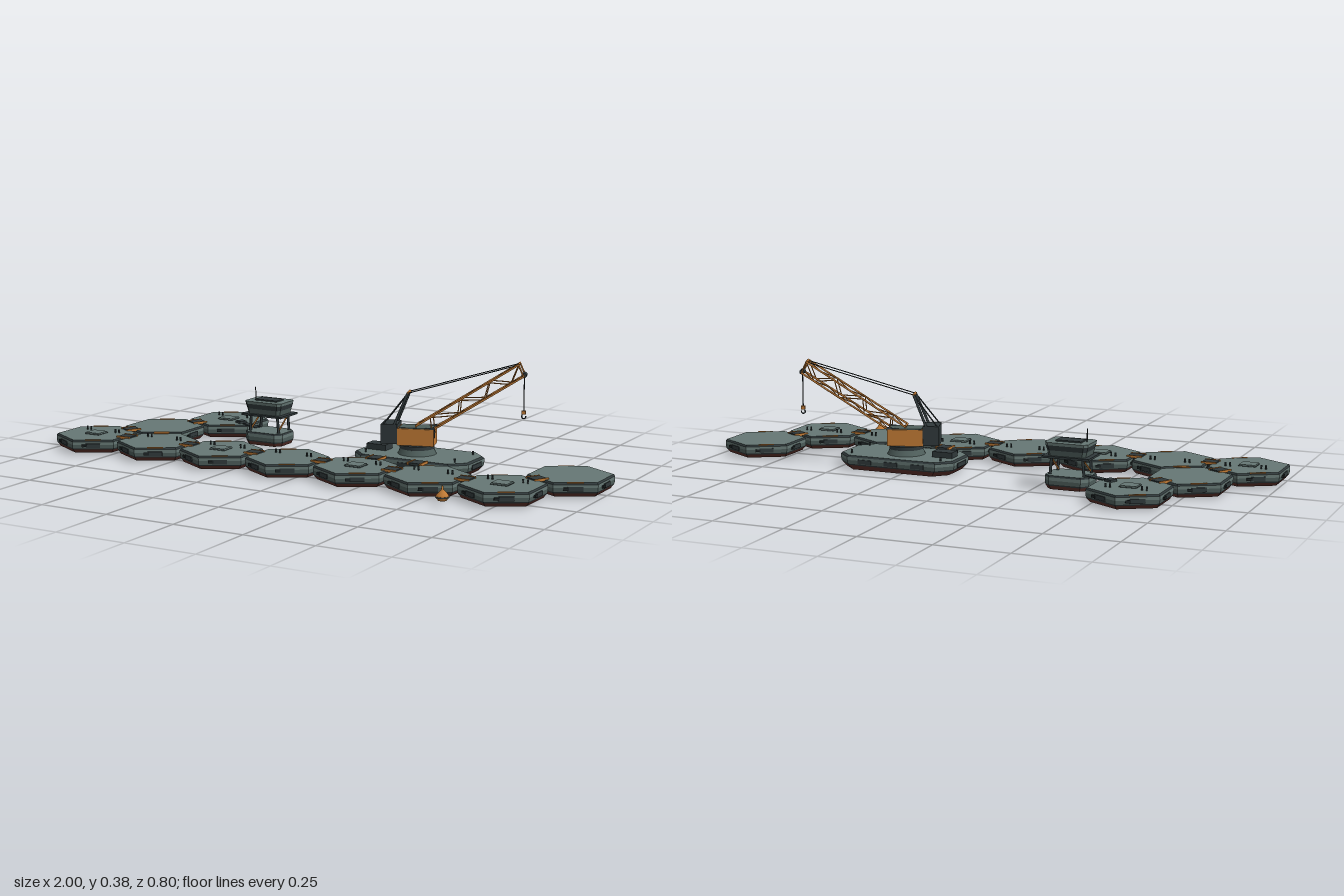
import * as THREE from 'three';

const mat = (name, color) => {
  const m = new THREE.MeshStandardMaterial({ color });
  m.name = name;
  return m;
};

export function createModel() {
  const deck = mat('deck green', 0x667875), hullMat = mat('hull green', 0x4f5f5c);
  const dark = mat('dark steel', 0x30393b), black = mat('black rubber', 0x1d2425);
  const orange = mat('orange paint', 0xc07a35), rust = mat('red antifouling', 0x5c3029);
  const root = new THREE.Group();
  root.name = 'floatingPontoons';

  const group = (name, parent, x = 0, y = 0, z = 0) => {
    const g = new THREE.Group();
    g.name = name;
    g.position.set(x, y, z);
    parent.add(g);
    return g;
  };
  const mesh = (name, parent, geo, m, x = 0, y = 0, z = 0, ry = 0) => {
    const o = new THREE.Mesh(geo, m);
    o.name = name;
    o.position.set(x, y, z);
    o.rotation.y = ry;
    parent.add(o);
    return o;
  };
  const box = (name, parent, m, w, h, d, x, y, z, ry = 0) =>
    mesh(name, parent, new THREE.BoxGeometry(w, h, d), m, x, y, z, ry);
  const cyl = (name, parent, m, rt, rb, h, x, y, z, n = 24) =>
    mesh(name, parent, new THREE.CylinderGeometry(rt, rb, h, n), m, x, y, z);
  const beam = (name, parent, m, a, b, r) => {
    const A = new THREE.Vector3(...a), B = new THREE.Vector3(...b), d = B.clone().sub(A);
    const o = mesh(name, parent, new THREE.CylinderGeometry(r, r, d.length(), 6), m);
    o.position.copy(A).add(B).multiplyScalar(0.5);
    o.quaternion.setFromUnitVectors(new THREE.Vector3(0, 1, 0), d.normalize());
    return o;
  };

  // Flat-sided ring between two heights of an outline, inset by a scale factor
  const facets = (tris) => {
    const g = new THREE.BufferGeometry();
    g.setAttribute('position', new THREE.Float32BufferAttribute(tris.flat(), 3));
    g.computeVertexNormals();
    return g;
  };
  const band = (pts, y0, s0, y1, s1) => {
    const t = [];
    pts.forEach(([x, z], i) => {
      const [u, w] = pts[(i + 1) % pts.length];
      const A = [x * s0, y0, z * s0], B = [x * s1, y1, z * s1];
      const C = [u * s1, y1, w * s1], D = [u * s0, y0, w * s0];
      t.push(A, B, C, A, C, D);
    });
    return facets(t);
  };
  const cap = (pts, y, s, up) => {
    const t = [];
    pts.forEach(([x, z], i) => {
      const [u, w] = pts[(i + 1) % pts.length];
      const P = [x * s, y, z * s], Q = [u * s, y, w * s];
      t.push([0, y, 0], ...(up ? [Q, P] : [P, Q]));
    });
    return facets(t);
  };
  const hull = (parent, pts, bottomMat, y0 = 0.004) => {
    mesh('hullBottom', parent, cap(pts, y0, 0.9, false), bottomMat);
    mesh('bilge', parent, band(pts, y0, 0.9, 0.016, 0.97), rust);
    mesh('waterline', parent, band(pts, 0.016, 0.97, 0.021, 0.99), dark);
    mesh('hullSide', parent, band(pts, 0.021, 0.99, 0.034, 1), hullMat);
    mesh('upperSide', parent, band(pts, 0.034, 1, 0.045, 1), deck);
    mesh('deckRim', parent, band(pts, 0.045, 1, 0.051, 0.965), dark);
    mesh('deck', parent, cap(pts, 0.051, 0.965, true), deck);
  };
  const octagon = (a, b, c) => [[a, -b + c], [a, b - c], [a - c, b], [-a + c, b],
    [-a, b - c], [-a, -b + c], [-a + c, -b], [a - c, -b]];

  // Hexagonal pontoons
  const R = 0.145, step = 0.267;
  const hex = Array.from({ length: 6 }, (_, i) => {
    const a = (i * 60 + 30) * Math.PI / 180;
    return [R * Math.cos(a), R * Math.sin(a)];
  });
  const centres = Array.from({ length: 7 }, (_, i) => [-0.874 + i * step, 0.21]);
  centres.push([-0.74, -0.021], [-0.607, -0.252], [0.864, -0.021]);
  centres.forEach(([cx, cz], k) => {
    const p = group('pontoon', root, cx, 0, cz);
    hull(p, hex, black);
    for (let i = 0; i < 6; i++) {
      // fender on each face, with short painted edge marks
      const a = i * Math.PI / 3, side = group('pontoonSide', p);
      side.rotation.y = -a;
      box('fender', side, dark, 0.006, 0.015, 0.05, 0.126, 0.031, 0);
      box('fenderPad', side, black, 0.008, 0.009, 0.018, 0.127, 0.031, 0.03);
      if (i === 1 || i === 4) box('edgeMark', side, orange, 0.006, 0.003, 0.055, 0.121, 0.051, 0);
    }
    if (k === 7 || k === 9) return;
    for (const s of [-1, 1]) for (const e of [-0.008, 0.008]) {
      cyl('bollard', p, dark, 0.0035, 0.003, 0.013, s * 0.062 + e, 0.0575, -0.038, 8);
    }
    if (k % 2 === 0) {
      box('hatch', p, deck, 0.056, 0.007, 0.052, 0, 0.0535, 0.004);
      box('hatchSeam', p, dark, 0.06, 0.002, 0.056, 0, 0.0515, 0.004);
    }
  });

  // Hinged links between neighbouring floats
  const link = (x, z, ry) => {
    const g = group('link', root, x, 0, z);
    g.rotation.y = ry;
    box('linkPlate', g, dark, 0.05, 0.008, 0.042, 0, 0.051, 0);
    box('linkBlock', g, black, 0.03, 0.02, 0.03, 0, 0.037, 0);
    for (const s of [-1, 1]) box('linkEdge', g, orange, 0.054, 0.009, 0.005, 0, 0.052, s * 0.024);
  };
  const pairs = [[0, 7], [7, 8], [6, 9]];
  for (let i = 0; i < 6; i++) pairs.push([i, i + 1]);
  pairs.forEach(([i, j]) => {
    const [a, b] = [centres[i], centres[j]];
    link((a[0] + b[0]) / 2, (a[1] + b[1]) / 2, -Math.atan2(b[1] - a[1], b[0] - a[0]));
  });
  for (const x of [0.197, 0.355]) link(x, 0.08, Math.PI / 2);

  // Crane barge
  const barge = group('craneBarge', root, 0.288, 0, -0.062);
  hull(barge, octagon(0.217, 0.112, 0.05), rust, 0);
  box('deckWinch', barge, dark, 0.075, 0.02, 0.05, -0.155, 0.061, 0);
  for (const s of [-1, 1]) {
    for (const x of [-0.1, 0, 0.1]) box('bargeFender', barge, dark, 0.05, 0.015, 0.006, x, 0.031, s * 0.112);
    for (const x of [-0.17, 0.17]) cyl('bollard', barge, dark, 0.004, 0.003, 0.013, x, 0.057, s * 0.07, 8);
    box('bargeEndFender', barge, dark, 0.006, 0.015, 0.07, s * 0.217, 0.031, 0);
  }

  // Slewing crane, boom along local +x
  const crane = group('crane', root, 0.28, 0, -0.062);
  crane.rotation.y = 0.305;
  cyl('pedestal', crane, hullMat, 0.058, 0.067, 0.02, 0, 0.06, 0, 32);
  cyl('slewRing', crane, dark, 0.06, 0.06, 0.013, 0, 0.077, 0, 32);
  box('machineHouse', crane, orange, 0.125, 0.058, 0.078, 0, 0.112, 0);
  box('houseRoof', crane, hullMat, 0.115, 0.004, 0.068, 0, 0.142, 0);
  box('houseWindow', crane, black, 0.003, 0.024, 0.024, 0.062, 0.122, 0.02);
  box('counterweight', crane, dark, 0.056, 0.068, 0.084, -0.091, 0.121, 0);

  // Lattice boom: four chords with zigzag bracing
  const n = 7;
  const top = (t, s) => [0.345 * t, 0.15 + 0.222 * t, s * (0.03 - 0.007 * t)];
  const low = (t, s) => [0.055 + 0.308 * t, 0.137 + 0.196 * t, s * (0.03 - 0.007 * t)];
  const boom = group('boom', crane);
  for (const s of [-1, 1]) {
    beam('upperChord', boom, orange, top(0, s), top(1, s), 0.0035);
    beam('lowerChord', boom, orange, low(0, s), low(1, s), 0.0035);
    beam('boomFoot', boom, dark, [0.028, 0.138, s * 0.03], low(0.03, s), 0.006);
    for (let i = 0; i < n; i++) {
      const a = i / n, b = (i + 1) / n;
      beam('sideBrace', boom, orange, ...(i % 2 ? [top(a, s), low(b, s)] : [low(a, s), top(b, s)]), 0.002);
    }
  }
  for (let i = 0; i <= n; i += 1) {
    const t = i / n, s = i % 2 ? 1 : -1;
    if (i === 0 || i === n) {
      beam('crossBar', boom, orange, top(t, -1), top(t, 1), 0.004);
      beam('crossBar', boom, orange, low(t, -1), low(t, 1), 0.003);
    }
    if (i < n) {
      beam('topBrace', boom, orange, top(t, s), top(t + 1 / n, -s), 0.0018);
      beam('bottomBrace', boom, orange, low(t, s), low(t + 1 / n, -s), 0.0018);
    }
  }
  for (const s of [-1, 1]) beam('tipBrace', boom, orange, top(1, s), low(1, s), 0.003);

  // Mast frame and pendant lines
  for (const s of [-1, 1]) {
    beam('mastLeg', crane, dark, [-0.075, 0.15, s * 0.036], [-0.03, 0.261, s * 0.023], 0.005);
    beam('backStay', crane, dark, [-0.112, 0.154, s * 0.034], [-0.03, 0.261, s * 0.023], 0.0025);
    beam('pendant', crane, black, [-0.03, 0.261, s * 0.02], top(0.99, s * 0.8), 0.0018);
  }
  beam('mastHead', crane, orange, [-0.03, 0.261, -0.025], [-0.03, 0.261, 0.025], 0.005);
  cyl('sheave', crane, dark, 0.009, 0.009, 0.03, 0.363, 0.335, 0, 12).rotation.x = Math.PI / 2;
  beam('hoistLine', crane, black, [0.363, 0.335, 0], [0.363, 0.205, 0], 0.002);
  box('hookBlock', crane, orange, 0.014, 0.012, 0.014, 0.363, 0.207, 0);
  mesh('hook', crane, new THREE.TorusGeometry(0.007, 0.0022, 6, 12, 4.5), dark, 0.363, 0.193, 0).rotation.z = 2.2;

  // Control tower on its own float
  const tower = group('controlTower', root, -0.363, 0, -0.143);
  hull(tower, octagon(0.078, 0.06, 0.022), rust);
  for (const s of [-1, 1]) {
    for (const t of [-1, 1]) beam('towerLeg', tower, dark, [s * 0.06, 0.05, t * 0.036], [s * 0.055, 0.11, t * 0.036], 0.005);
    beam('towerBrace', tower, orange, [s * 0.058, 0.055, 0.036], [s * 0.056, 0.108, -0.036], 0.003);
  }
  box('platform', tower, dark, 0.166, 0.007, 0.115, 0, 0.112, 0);
  const cabin = octagon(0.076, 0.054, 0.012);
  mesh('cabinLower', tower, band(cabin, 0.115, 0.86, 0.134, 0.92), hullMat);
  mesh('cabinWindows', tower, band(cabin, 0.134, 0.92, 0.151, 0.98), dark);
  mesh('cabinTop', tower, band(cabin, 0.151, 0.98, 0.161, 1), deck);
  mesh('cabinRoof', tower, cap(cabin, 0.161, 1, true), deck);
  box('roofUnit', tower, dark, 0.09, 0.006, 0.05, 0, 0.163, 0);
  beam('antenna', tower, black, [-0.055, 0.16, 0.005], [-0.055, 0.206, 0.005], 0.0018);

  // Gangway from the rear pontoon to the tower
  const gang = group('gangway', root, -0.462, 0.052, -0.176);
  gang.rotation.y = -0.45;
  box('gangwayDeck', gang, dark, 0.085, 0.005, 0.022, 0, 0, 0);
  box('gangwayBox', root, dark, 0.03, 0.01, 0.03, -0.525, 0.054, -0.205, -0.45);

  // Mooring buoy
  const profile = [[0, 0.013], [0.014, 0.015], [0.022, 0.026], [0.02, 0.033], [0.009, 0.045], [0.004, 0.05], [0.003, 0.062], [0, 0.062]];
  const buoy = group('buoy', root, 0.597, 0, 0.377);
  mesh('buoyBody', buoy, new THREE.LatheGeometry(profile.map(([r, y]) => new THREE.Vector2(r, y)), 20), orange);
  cyl('buoyBand', buoy, dark, 0.0222, 0.0225, 0.004, 0, 0.0265, 0, 20);
  return root;
}
